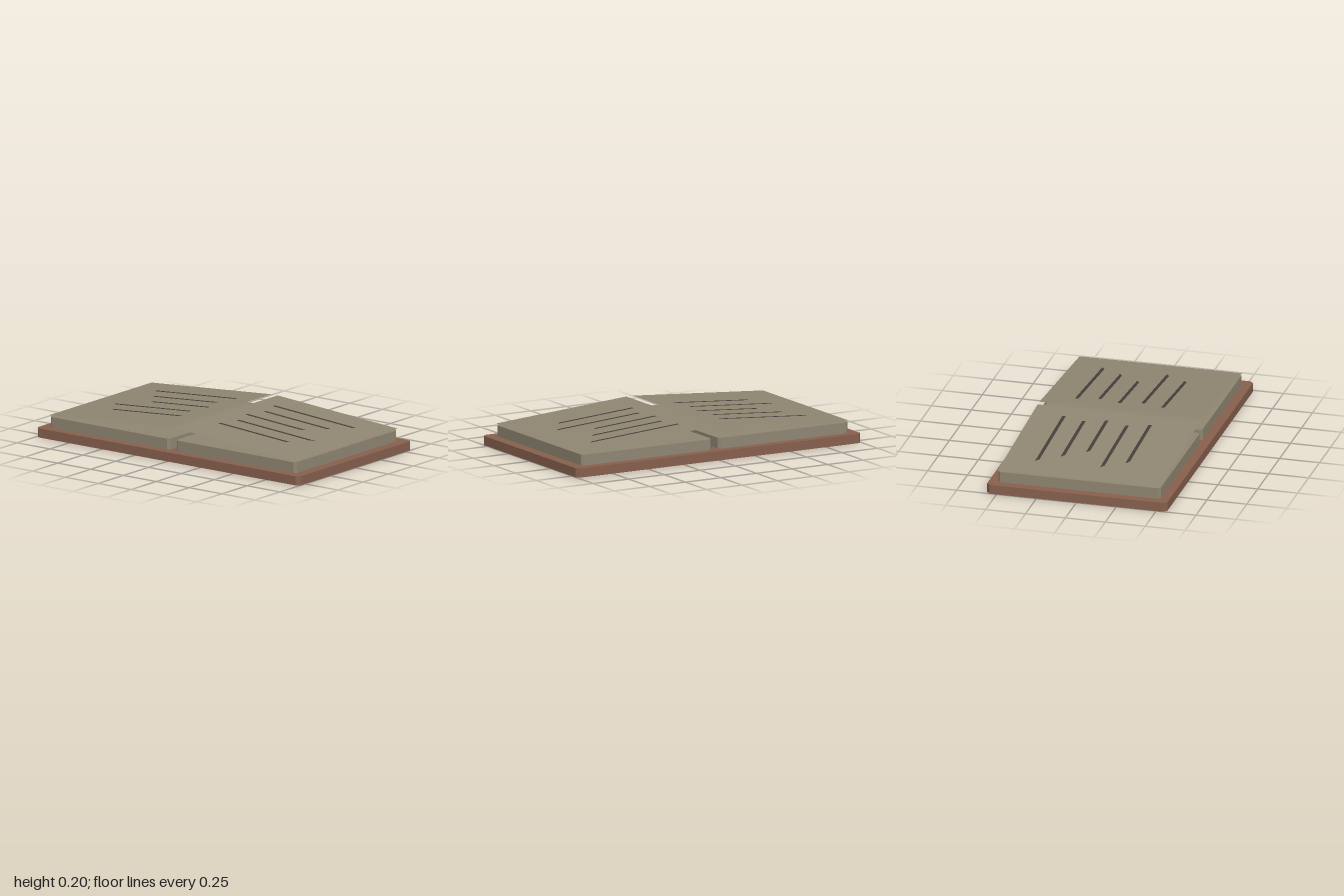
import * as THREE from 'three';

const coverMat = new THREE.MeshStandardMaterial({ color: 0x87604e, flatShading: true });
coverMat.name = 'brown leather';
const paperMat = new THREE.MeshStandardMaterial({ color: 0x8f8672, flatShading: true, side: THREE.DoubleSide });
paperMat.name = 'aged paper';
const inkMat = new THREE.MeshStandardMaterial({ color: 0x453e39, flatShading: true, side: THREE.DoubleSide });
inkMat.name = 'dark ink';

// Flat slab with cut corners, standing on y = y0
function slab(name, w, d, cut, y0, y1, material) {
  const x = w / 2, z = d / 2;
  const shape = new THREE.Shape([
    [-x + cut, -z], [x - cut, -z], [x, -z + cut], [x, z - cut],
    [x - cut, z], [-x + cut, z], [-x, z - cut], [-x, -z + cut],
  ].map(([a, b]) => new THREE.Vector2(a, b)));
  const geo = new THREE.ExtrudeGeometry(shape, { depth: y1 - y0, bevelEnabled: false });
  geo.rotateX(-Math.PI / 2).translate(0, y0, 0);
  const mesh = new THREE.Mesh(geo, material);
  mesh.name = name;
  return mesh;
}

// Page slope: high at the spine, low at the outer edge
const INNER = 0.023, OUTER = 0.937;
const pageY = (x) => 0.2 - 0.067 * (x - INNER) / (OUTER - INNER);

// Four-cornered sheet lying on the page slope; corners are [x, z] with x away from the spine
function sheet(name, corners, lift, side, material) {
  const pts = corners.flatMap(([x, z]) => [side * x, pageY(x) + lift, z]);
  const geo = new THREE.BufferGeometry();
  geo.setAttribute('position', new THREE.Float32BufferAttribute(pts, 3));
  geo.setIndex(side > 0 ? [0, 1, 2, 0, 2, 3] : [0, 2, 1, 0, 3, 2]);
  geo.computeVertexNormals();
  const mesh = new THREE.Mesh(geo, material);
  mesh.name = name;
  return mesh;
}

// Written lines: [z centre, inner x, outer x]
const LINES = [
  [-0.31, 0.144, 0.77],
  [-0.175, 0.182, 0.68],
  [-0.042, 0.144, 0.587],
  [0.096, 0.182, 0.765],
  [0.23, 0.144, 0.678],
];

export function createModel() {
  const book = new THREE.Group();
  book.name = 'openBook';
  book.add(slab('cover', 2, 1.13, 0.022, 0, 0.057, coverMat));

  for (const side of [1, -1]) {
    const half = new THREE.Group();
    half.name = side > 0 ? 'leftHalf' : 'rightHalf';
    half.position.x = -0.004;

    // Page block
    const block = slab('pageBlock', OUTER - INNER, 1.018, 0.016, 0.057, 0.124, paperMat);
    block.position.x = side * (INNER + OUTER) / 2;
    half.add(block);

    // Raised top page
    half.add(sheet('topPage', [[INNER, -0.509], [INNER, 0.509], [OUTER, 0.509], [OUTER, -0.509]], 0, side, paperMat));

    // Ink lines, with slanted outer ends
    for (const [z, a, b] of LINES) {
      const h = 0.0105;
      half.add(sheet('inkLine', [[a, z - h], [a, z + h], [b - 0.027, z + h], [b, z - h]], 0.003, side, inkMat));
    }
    book.add(half);
  }
  return book;
}
